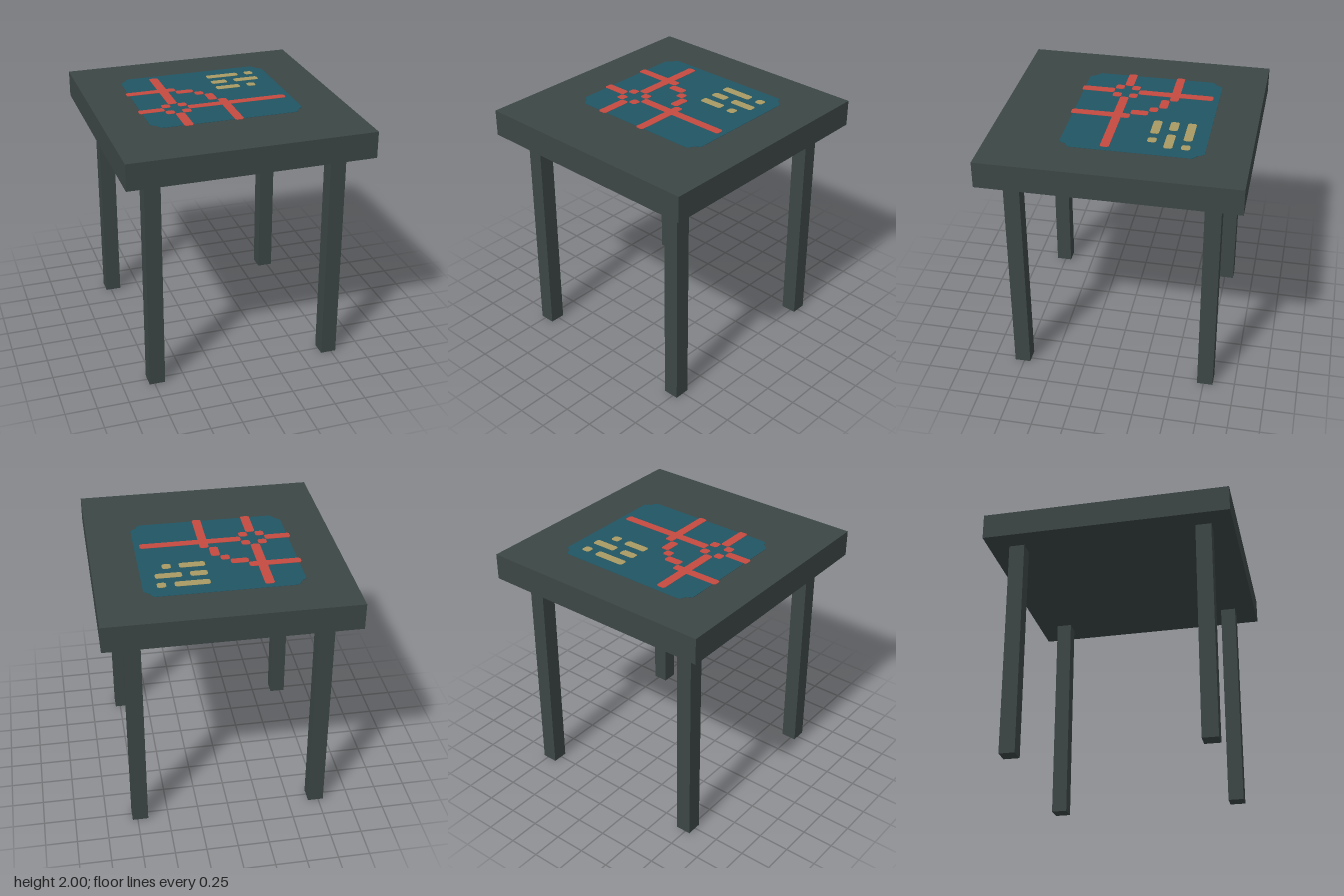
import * as THREE from 'three';

const material = (name, color) => {
  const m = new THREE.MeshStandardMaterial({ color });
  m.name = name;
  return m;
};

// Horizontal plate with chamfered corners, from x0..x1, z0..z1, y0..y1
function plate(name, mat, [x0, x1, z0, z1], y0, y1, cuts) {
  const quarter = cuts; // corner outline as [inset x, inset z], from the z edge to the x edge
  const back = [...quarter].reverse();
  const pts = [
    ...quarter.map(([a, b]) => [x1 - a, z1 - b]),
    ...back.map(([a, b]) => [x1 - a, z0 + b]),
    ...quarter.map(([a, b]) => [x0 + a, z0 + b]),
    ...back.map(([a, b]) => [x0 + a, z1 - b]),
  ].map(([x, z]) => new THREE.Vector2(x, -z));
  const geo = new THREE.ExtrudeGeometry(new THREE.Shape(pts), { depth: y1 - y0, bevelEnabled: false });
  geo.rotateX(-Math.PI / 2);
  const mesh = new THREE.Mesh(geo, mat);
  mesh.position.y = y0;
  mesh.name = name;
  return mesh;
}

export function createModel() {
  const model = new THREE.Group();
  model.name = 'table';
  const slate = material('dark slate', 0x3c4645);
  const teal = material('deep teal', 0x215563);
  const red = material('brick red', 0xc44a40);
  const tan = material('tan', 0xa99b63);

  // Table top
  const top = new THREE.Mesh(new THREE.BoxGeometry(1.92, 0.21, 1.99), slate);
  top.position.y = 1.891;
  top.name = 'tableTop';
  model.add(top);

  // Four square legs
  for (const x of [-1, 1]) {
    for (const z of [-1, 1]) {
      const leg = new THREE.Mesh(new THREE.BoxGeometry(0.126, 1.79, 0.126), slate);
      leg.position.set(x * 0.728, 0.895, z * 0.762);
      leg.name = (z > 0 ? 'front' : 'back') + (x > 0 ? 'Left' : 'Right') + 'Leg';
      model.add(leg);
    }
  }

  // Painted panel with stepped corners
  const step = [[0.075, 0], [0.055, 0.02], [0.045, 0.05], [0.03, 0.055], [0.02, 0.068], [0, 0.08]];
  model.add(plate('mapPanel', teal, [-0.613, 0.607, -0.652, 0.442], 1.99, 1.998, step));

  // Red route lines and the ring of small squares
  const nick = [[0.013, 0], [0, 0.013]];
  const routes = new THREE.Group();
  routes.name = 'routeLines';
  [
    [-0.37, -0.297, -0.604, -0.002],
    [-0.37, -0.297, 0.195, 0.458],
    [-0.633, -0.233, -0.336, -0.268],
    [-0.24, -0.102, -0.271, -0.203],
    [-0.104, -0.034, -0.204, -0.136],
    [-0.037, 0.033, -0.137, 0.0],
    [0.03, 0.1, -0.003, 0.458],
    [-0.237, 0.562, 0.06, 0.13],
    [-0.633, -0.43, 0.06, 0.13],
    [-0.434, -0.365, -0.003, 0.065],
    [-0.302, -0.233, -0.003, 0.065],
    [-0.434, -0.365, 0.127, 0.197],
    [-0.302, -0.233, 0.127, 0.197],
  ].forEach((r) => routes.add(plate('routeLine', red, r, 1.993, 2, nick)));
  model.add(routes);

  // Tan dashes in three rows
  const dashes = new THREE.Group();
  dashes.name = 'dashes';
  [
    [-0.502, [[0.098, 0.366], [0.43, 0.498]]],
    [-0.37, [[0.098, 0.231], [0.293, 0.498]]],
    [-0.237, [[0.098, 0.298], [0.361, 0.43]]],
  ].forEach(([z, row]) => row.forEach(([x0, x1]) =>
    dashes.add(plate('dash', tan, [x0, x1, z - 0.034, z + 0.034], 1.993, 2, nick))));
  model.add(dashes);

  return model;
}
